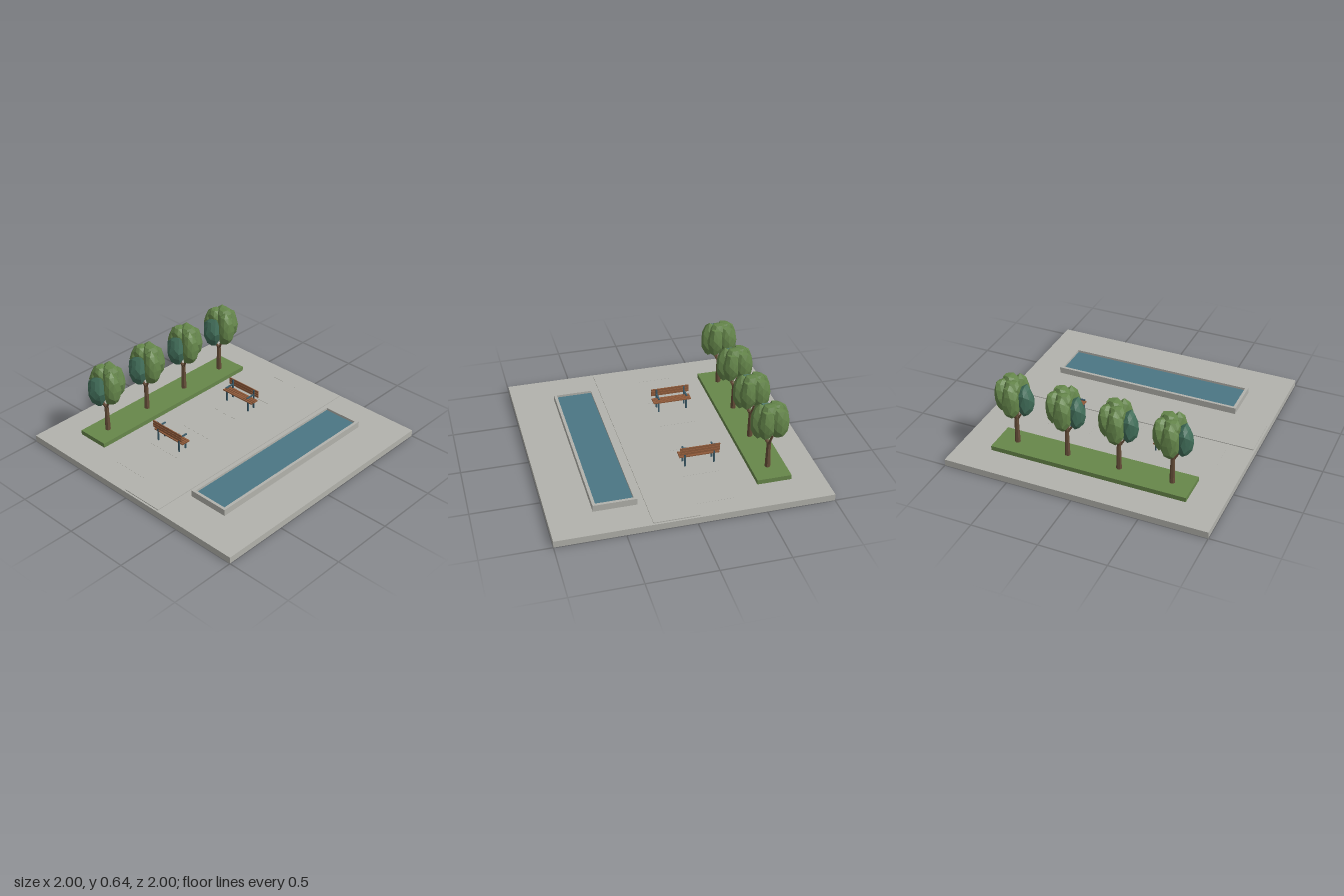
import * as THREE from 'three';

const mat = (name, color, flat = false) => {
  const m = new THREE.MeshStandardMaterial({ color, flatShading: flat });
  m.name = name;
  return m;
};

const concrete = mat('concrete', 0xb2b2ac);
const lawn = mat('lawn green', 0x67874a);
const water = mat('water blue', 0x4b7684);
const wood = mat('bench wood', 0x8f5a3a);
const metal = mat('bench metal', 0x3c5a68);
const bark = mat('bark', 0x654d38, true);
const leaf = mat('leaf green', 0x64854a, true);
const darkLeaf = mat('blue green leaf', 0x406c58, true);

// Box given by its limits on each axis
function box(parent, name, material, [x0, x1], [y0, y1], [z0, z1]) {
  const mesh = new THREE.Mesh(new THREE.BoxGeometry(x1 - x0, y1 - y0, z1 - z0), material);
  mesh.position.set((x0 + x1) / 2, (y0 + y1) / 2, (z0 + z1) / 2);
  mesh.name = name;
  parent.add(mesh);
  return mesh;
}

// Tapered limb between two points
function limb(parent, name, a, b, r0, r1, sides) {
  const from = new THREE.Vector3(...a), to = new THREE.Vector3(...b);
  const dir = to.clone().sub(from);
  const mesh = new THREE.Mesh(new THREE.CylinderGeometry(r1, r0, dir.length(), sides), bark);
  mesh.position.copy(from).add(to).multiplyScalar(0.5);
  mesh.quaternion.setFromUnitVectors(new THREE.Vector3(0, 1, 0), dir.normalize());
  mesh.name = name;
  parent.add(mesh);
}

// Faceted leaf clump; equal corners get equal jitter so it stays closed
function clump(parent, material, [x, y, z], [rx, ry, rz], seed) {
  const geo = new THREE.IcosahedronGeometry(1, 1);
  const p = geo.attributes.position;
  for (let i = 0; i < p.count; i++) {
    const k = Math.round(p.getX(i) * 50) * 12.9 + Math.round(p.getY(i) * 50) * 78.2 +
      Math.round(p.getZ(i) * 50) * 37.7 + seed * 5.3;
    const s = Math.abs(Math.sin(k) * 43758.5) % 1;
    const f = 0.88 + 0.2 * s;
    p.setXYZ(i, p.getX(i) * f * rx, p.getY(i) * f * ry, p.getZ(i) * f * rz);
  }
  geo.computeVertexNormals();
  const mesh = new THREE.Mesh(geo, material);
  mesh.position.set(x, y, z);
  mesh.name = 'leafClump';
  parent.add(mesh);
}

function createTree() {
  const tree = new THREE.Group();
  tree.name = 'tree';
  limb(tree, 'trunk', [0, 0.08, 0], [0, 0.3, 0], 0.021, 0.015, 7);
  for (const [x, z] of [[-0.06, 0.02], [0.06, 0.01], [0.01, 0.07], [0, -0.06]]) {
    limb(tree, 'branch', [0, 0.27, 0], [x, 0.39, z], 0.009, 0.006, 5);
  }
  clump(tree, darkLeaf, [0, 0.46, 0.08], [0.074, 0.128, 0.064], 1);
  clump(tree, leaf, [-0.075, 0.47, 0.005], [0.064, 0.14, 0.07], 2);
  clump(tree, leaf, [0.08, 0.475, 0.005], [0.066, 0.14, 0.072], 3);
  clump(tree, leaf, [-0.04, 0.5, -0.072], [0.07, 0.125, 0.064], 4);
  clump(tree, leaf, [0.05, 0.495, -0.07], [0.066, 0.125, 0.062], 5);
  clump(tree, leaf, [0.025, 0.545, -0.035], [0.07, 0.1, 0.07], 6);
  clump(tree, leaf, [-0.035, 0.55, 0], [0.06, 0.08, 0.065], 7);
  return tree;
}

// Bench facing +z, centred on x, standing on the paving
function createBench() {
  const bench = new THREE.Group();
  bench.name = 'bench';
  for (let i = 0; i < 4; i++) {
    const z = -0.034 + i * 0.019;
    box(bench, 'seatSlat', wood, [-0.15, 0.15], [0.127, 0.136], [z, z + 0.015]);
  }
  for (let i = 0; i < 3; i++) {
    const y = 0.155 + i * 0.0205;
    box(bench, 'backSlat', wood, [-0.15, 0.15], [y, y + 0.017], [-0.043, -0.036]);
  }
  for (const x of [-0.11, 0.11]) {
    const w = [x - 0.006, x + 0.006];
    box(bench, 'backPost', metal, w, [0.05, 0.21], [-0.036, -0.028]);
    box(bench, 'frontLeg', metal, w, [0.05, 0.127], [0.029, 0.039]);
    box(bench, 'seatBearer', metal, w, [0.12, 0.127], [-0.036, 0.039]);
    box(bench, 'armrest', metal, w, [0.166, 0.174], [-0.036, 0.046]);
  }
  return bench;
}

// Rectangular frame standing upright along y
function frame(parent, name, x, y, z, t) {
  const shape = new THREE.Shape();
  shape.moveTo(x[0], -z[1]).lineTo(x[1], -z[1]).lineTo(x[1], -z[0]).lineTo(x[0], -z[0]).closePath();
  const hole = new THREE.Path();
  hole.moveTo(x[0] + t, -z[1] + t).lineTo(x[0] + t, -z[0] - t)
    .lineTo(x[1] - t, -z[0] - t).lineTo(x[1] - t, -z[1] + t).closePath();
  shape.holes.push(hole);
  const geo = new THREE.ExtrudeGeometry(shape, { depth: y[1] - y[0], bevelEnabled: false });
  geo.rotateX(-Math.PI / 2);
  const mesh = new THREE.Mesh(geo, concrete);
  mesh.position.y = y[0];
  mesh.name = name;
  parent.add(mesh);
}

export function createModel() {
  const model = new THREE.Group();
  model.name = 'parkPlaza';

  // Ground slab, footpath and fine paving joints
  box(model, 'groundSlab', concrete, [-1, 1], [0, 0.05], [-1, 1]);
  box(model, 'footpath', concrete, [-0.02, 0.31], [0.05, 0.056], [-0.985, 0.985]);
  for (let i = 0; i < 6; i++) {
    const z = 0.8 - i * 0.33;
    box(model, 'pavingJoint', concrete, [-0.31, -0.02], [0.05, 0.051], [z - 0.003, z + 0.003]);
  }

  // Water basin
  const basin = new THREE.Group();
  basin.name = 'waterBasin';
  frame(basin, 'basinRim', [0.365, 0.68], [0.05, 0.1], [-0.755, 0.715], 0.022);
  box(basin, 'water', water, [0.387, 0.658], [0.05, 0.082], [-0.733, 0.693]);
  model.add(basin);

  // Planting bed with a row of trees
  box(model, 'plantingBed', lawn, [-0.765, -0.51], [0.05, 0.085], [-0.75, 0.75]);
  for (const z of [-0.6, -0.2, 0.2, 0.6]) {
    const tree = createTree();
    tree.position.set(-0.635, 0, z);
    model.add(tree);
  }

  // Two benches facing each other
  for (const side of [-1, 1]) {
    const bench = createBench();
    bench.position.set(-0.185, 0, side * 0.372);
    if (side > 0) bench.rotation.y = Math.PI;
    model.add(bench);
  }
  return model;
}
